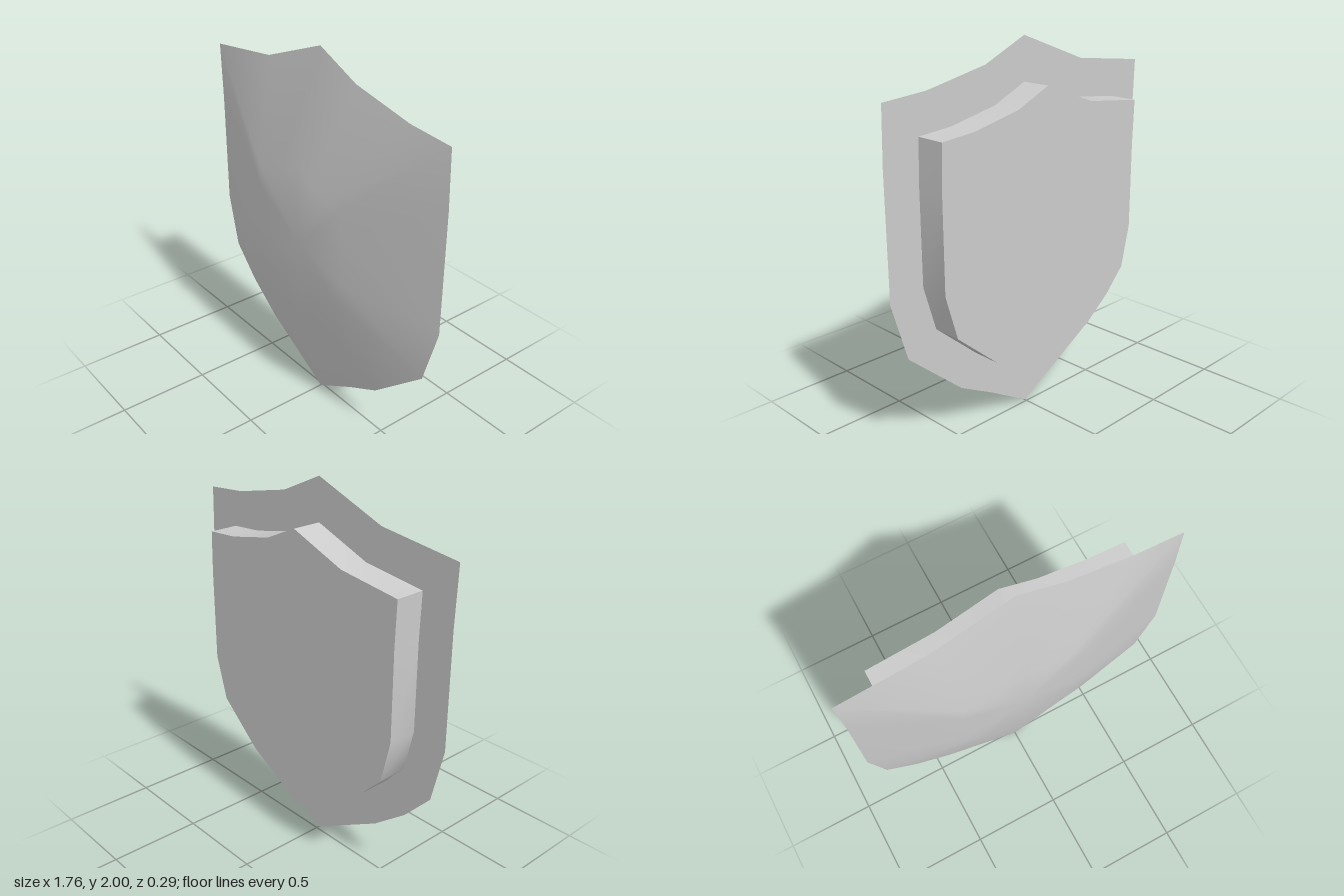
import * as THREE from 'three';
import { toCreasedNormals } from 'three/addons/utils/BufferGeometryUtils.js';

// Shield outline, counter-clockwise seen from the front
const OUTLINE = [
  [0, 2], [-0.42, 1.845], [-0.88, 1.79], [-0.87, 1.48], [-0.87, 0.87], [-0.8, 0.575],
  [-0.64, 0.405], [-0.44, 0.25], [0, 0], [0.26, 0.15], [0.46, 0.255],
  [0.79, 0.54], [0.88, 0.85], [0.88, 1.5], [0.87, 1.79], [0.62, 1.81], [0.26, 1.885],
];
const RIM_Z = 0.015, FRONT_Z = 0.145, BACK_Z = -0.145;

// Outline scaled about the shield's middle
function scaled(sx, sy, cx = 0, cy = 1) {
  return OUTLINE.map(([x, y]) => new THREE.Vector2(cx + x * sx, cy + (y - 1) * sy));
}

// Sloping face: rim ring, raised inner ring and a centre point, sharing smooth normals
function faceGeometry() {
  const rim = scaled(1, 1), inner = scaled(0.383, 0.43, -0.013, 0.97);
  const n = rim.length, positions = [], index = [];
  rim.forEach((p) => positions.push(p.x, p.y, RIM_Z));
  inner.forEach((p) => positions.push(p.x, p.y, FRONT_Z));
  positions.push(-0.013, 0.97, FRONT_Z);
  for (let i = 0; i < n; i++) {
    const j = (i + 1) % n;
    index.push(i, j, n + j, i, n + j, n + i);
    index.push(n + i, n + j, 2 * n);
  }
  const geometry = new THREE.BufferGeometry();
  geometry.setAttribute('position', new THREE.Float32BufferAttribute(positions, 3));
  geometry.setIndex(index);
  geometry.computeVertexNormals();
  return geometry;
}

export function createModel() {
  const group = new THREE.Group();
  group.name = 'shield';
  const material = new THREE.MeshStandardMaterial({ color: 0xcccccc });
  const add = (name, geometry) => {
    const mesh = new THREE.Mesh(geometry, material);
    mesh.name = name;
    group.add(mesh);
    return mesh;
  };

  add('shieldFace', faceGeometry());

  // Flat back of the rim, turned to face -z (x mirrored first to undo the turn)
  const backShape = new THREE.Shape(scaled(-1, 1));
  const rimBack = add('rimBack', new THREE.ShapeGeometry(backShape));
  rimBack.rotation.y = Math.PI;
  rimBack.position.z = RIM_Z;

  // Thick smaller plate behind, its front sunk slightly into the face
  const plate = new THREE.ExtrudeGeometry(new THREE.Shape(scaled(0.776, 0.776, 0, 0.997)), {
    depth: RIM_Z + 0.005 - BACK_Z, bevelEnabled: false,
  });
  plate.translate(0, 0, BACK_Z);
  add('backPlate', toCreasedNormals(plate, 0.55));

  return group;
}
